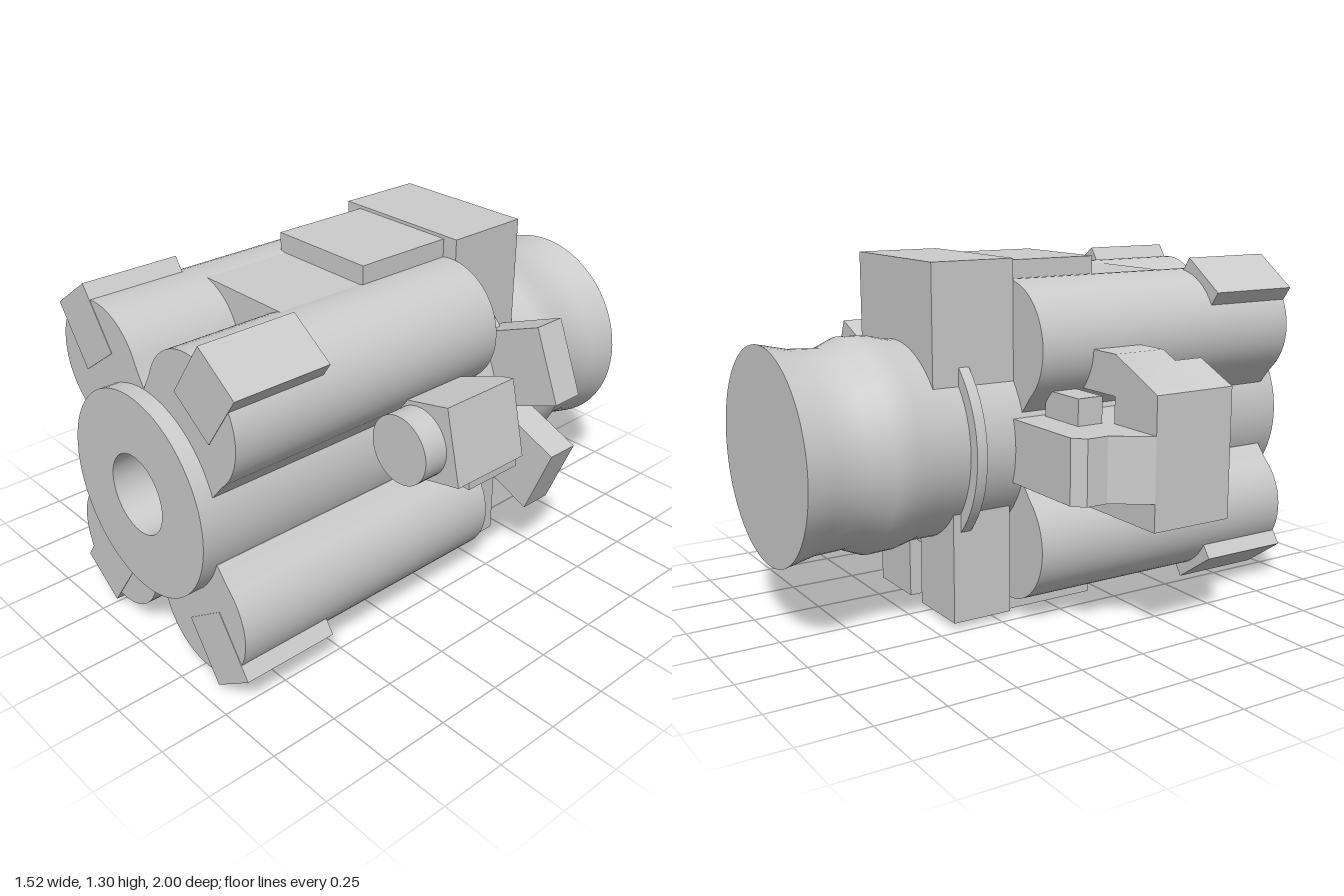
import * as THREE from 'three';
import { toCreasedNormals } from 'three/addons/utils/BufferGeometryUtils.js';

const AX = 0.07, AY = 0.643; // barrel axis

export function createModel() {
  const root = new THREE.Group();
  const mat = new THREE.MeshStandardMaterial({ color: 0xcccccc });

  const add = (name, geo, parent = root) => {
    const m = new THREE.Mesh(toCreasedNormals(geo, 0.6), mat);
    m.name = name;
    parent.add(m);
    return m;
  };
  // box given by its limits
  const box = (name, x0, x1, y0, y1, z0, z1, parent) =>
    add(name, new THREE.BoxGeometry(x1 - x0, y1 - y0, z1 - z0)
      .translate((x0 + x1) / 2, (y0 + y1) / 2, (z0 + z1) / 2), parent);
  // front outline (x, y) extruded from z0 to z1
  const extrudeZ = (name, pts, z0, z1, parent) =>
    add(name, new THREE.ExtrudeGeometry(
      new THREE.Shape(pts.map(p => new THREE.Vector2(...p))),
      { depth: z1 - z0, bevelEnabled: false }).translate(0, 0, z0), parent);
  // plan outline (x, z) extruded from y0 to y1
  const extrudeY = (name, pts, y0, y1, parent) =>
    add(name, new THREE.ExtrudeGeometry(
      new THREE.Shape(pts.map(([x, z]) => new THREE.Vector2(x, -z))),
      { depth: y1 - y0, bevelEnabled: false }).rotateX(-Math.PI / 2).translate(0, y0, 0), parent);
  // profile (radius, z) turned around the z direction
  const turned = (name, pts, x, y, parent) =>
    add(name, new THREE.LatheGeometry(pts.map(p => new THREE.Vector2(...p)), 64)
      .rotateX(Math.PI / 2).translate(x, y, 0), parent);
  // group whose +x points outward from the barrel axis
  const radial = (name, angle) => {
    const g = new THREE.Group();
    g.name = name;
    g.position.set(AX, AY, 0);
    g.rotation.z = angle;
    root.add(g);
    return g;
  };

  // Central barrel with front bore and waisted rear section
  turned('barrel', [
    [0, -1], [0.385, -1], [0.36, -0.89], [0.355, -0.77], [0.388, -0.69], [0.385, -0.6],
    [0.366, -0.52], [0.365, -0.2], [0.365, 1], [0.143, 1], [0.143, 0.4], [0, 0.4],
  ], AX, AY);
  turned('rearRing', [[0.34, -0.4], [0.41, -0.4], [0.41, -0.36], [0.34, -0.36]], AX, AY);

  // Four long pods around the barrel, each with a square front clamp
  const podShape = [[0.2, -0.12], [0.3, -0.21]];
  for (let i = 0; i <= 32; i++) {
    const a = (-105 + 210 * i / 32) * Math.PI / 180;
    podShape.push([0.436 + 0.225 * Math.cos(a), 0.225 * Math.sin(a)]);
  }
  podShape.push([0.3, 0.21], [0.2, 0.12]);
  const podAngle = 0.96;
  for (const a of [podAngle, Math.PI - podAngle, Math.PI + podAngle, -podAngle]) {
    const g = radial('pod', a);
    extrudeZ('podBody', podShape, -0.18, 0.94, g);
    box('podClamp', 0.45, 0.695, -0.102, 0.102, 0.58, 0.942, g);
  }

  // Filler blocks and raised plates, above and below
  for (const s of [1, -1]) {
    const y = d => AY + s * d;
    const span = (a, b) => [Math.min(y(a), y(b)), Math.max(y(a), y(b))];
    box('podBridge', -0.18, 0.32, ...span(0.3, 0.575), -0.18, 0.54);
    box('accessPlate', -0.15, 0.28, ...span(0.55, 0.645), -0.19, 0.2);
  }

  // Rear housings
  box('topHousing', -0.215, 0.34, 0.8, 1.3, -0.5, -0.18);
  box('bottomHousing', -0.22, 0.03, 0.02, 0.42, -0.43, -0.2);
  box('bottomHousing', 0.12, 0.36, 0.02, 0.42, -0.43, -0.2);

  // Tilted boxes on the left side
  for (const a of [0.385, -0.385]) {
    box('sideBox', 0.3, 0.633, -0.143, 0.143, -0.455, -0.33, radial('sideBoxMount', a));
  }
  box('sideBlock', 0.36, 0.58, 0.46, 0.57, -0.29, -0.04);

  // Sensor unit with front lens and rear connector
  const sensor = radial('sensor', 0.225);
  extrudeY('sensorBody',
    [[0.3, 0.215], [0.677, 0.215], [0.677, -0.1], [0.61, -0.1], [0.3, 0.06]],
    -0.14, 0.14, sensor);
  turned('sensorLens', [[0, 0.1], [0.125, 0.1], [0.125, 0.31], [0, 0.31]], 0.52, 0, sensor);
  turned('sensorConnector',
    [[0, -0.18], [0.07, -0.18], [0.085, -0.15], [0.085, -0.1], [0.07, -0.07], [0.07, 0.1], [0, 0.1]],
    0.52, 0, sensor);

  // Mounting bracket on the right side
  extrudeY('bracketBase', [
    [-0.25, -0.22], [-0.63, -0.22], [-0.67, -0.18], [-0.67, -0.1], [-0.76, 0.03],
    [-0.76, 0.35], [-0.55, 0.35], [-0.55, 0.5], [-0.25, 0.5],
  ], 0.52, 0.75);
  extrudeZ('bracketArm', [
    [-0.76, 0.75], [-0.76, 0.885], [-0.53, 0.99], [-0.25, 0.99],
    [-0.25, 0.845], [-0.53, 0.845], [-0.53, 0.75],
  ], 0.03, 0.235);
  extrudeZ('bracketCheek',
    [[-0.76, 0.75], [-0.76, 0.885], [-0.595, 0.96], [-0.595, 0.75]], 0.235, 0.35);
  box('bracketPost', -0.5, -0.3, 0.75, 0.845, -0.1, 0);
  box('bracketFoot', -0.76, -0.615, 0.42, 0.52, 0.03, 0.35);
  box('bracketFoot', -0.615, -0.3, 0.42, 0.52, 0.03, 0.24);
  add('bracketPivot', new THREE.CylinderGeometry(0.06, 0.06, 0.1, 32).translate(-0.415, 0.47, 0.3));

  return root;
}
